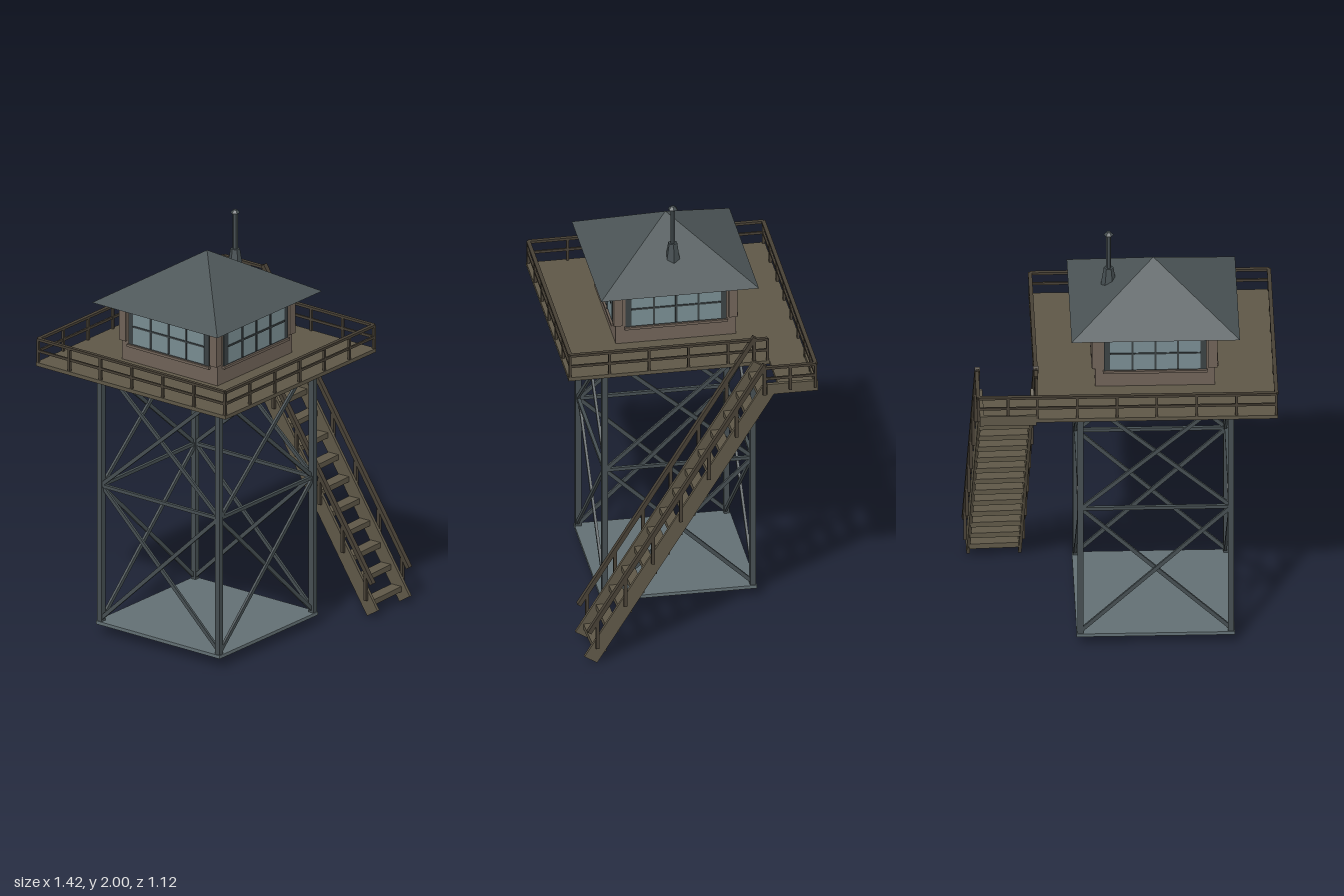
import * as THREE from 'three';

const mat = (color, extra = {}) => new THREE.MeshStandardMaterial({ color, flatShading: true, ...extra });
const wood = mat(0x5e5747), darkWood = mat(0x474035), wallPaint = mat(0x6f6257);
const steel = mat(0x454e51), slabGrey = mat(0x626f73), roofGrey = mat(0x4b5456);
const glassBlue = mat(0x788c91), frameDark = mat(0x3a4143);

// Tower axis
const CX = -0.153, CZ = 0.008;
const UP = new THREE.Vector3(0, 1, 0);

function add(parent, name, geometry, material, x = 0, y = 0, z = 0) {
  const mesh = new THREE.Mesh(geometry, material);
  mesh.name = name;
  mesh.position.set(x, y, z);
  parent.add(mesh);
  return mesh;
}

const box = (parent, name, m, w, h, d, x, y, z) =>
  add(parent, name, new THREE.BoxGeometry(w, h, d), m, x, y, z);

// Straight member between two local points; h is its depth in the vertical plane
function beam(parent, name, m, a, b, w, h = w) {
  const p = new THREE.Vector3(...a), q = new THREE.Vector3(...b);
  const mesh = add(parent, name, new THREE.BoxGeometry(w, h, p.distanceTo(q)), m);
  mesh.position.copy(p).lerp(q, 0.5);
  mesh.quaternion.setFromRotationMatrix(new THREE.Matrix4().lookAt(q, p, UP));
}

function group(parent, name, x = 0, y = 0, z = 0) {
  const g = new THREE.Group();
  g.name = name;
  g.position.set(x, y, z);
  parent.add(g);
  return g;
}

function buildTower(root) {
  const tower = group(root, 'tower', CX, 0, CZ);
  box(tower, 'baseSlab', slabGrey, 0.725, 0.016, 0.725, 0, 0.058, 0);
  const r = 0.345, low = 0.066, mid = 0.73, top = 1.332;
  for (let i = 0; i < 4; i++) {
    const side = group(tower, 'towerSide');
    side.rotation.y = i * Math.PI / 2;
    box(side, 'leg', steel, 0.027, top - low, 0.027, r, (low + top) / 2, r);
    beam(side, 'girt', steel, [-r, mid, r], [r, mid, r], 0.016);
    for (const [y0, y1] of [[low + 0.01, mid], [mid, top - 0.005]]) {
      beam(side, 'brace', steel, [-r, y0, r + 0.004], [r, y1, r + 0.004], 0.012, 0.018);
      beam(side, 'brace', steel, [-r, y1, r - 0.004], [r, y0, r - 0.004], 0.012, 0.018);
    }
  }
}

// Top rail, middle rail and evenly spaced posts along one edge
function railing(parent, a, b, bays) {
  const g = group(parent, 'railing');
  const at = (p, y) => [p[0], y, p[1]];
  beam(g, 'topRail', darkWood, at(a, 1.457), at(b, 1.457), 0.018, 0.012);
  beam(g, 'midRail', darkWood, at(a, 1.4), at(b, 1.4), 0.009, 0.012);
  for (let i = 0; i <= bays; i++) {
    const t = i / bays;
    box(g, 'railPost', darkWood, 0.012, 0.122, 0.012,
      a[0] + (b[0] - a[0]) * t, 1.395, a[1] + (b[1] - a[1]) * t);
  }
}

function buildDeck(root) {
  const deck = group(root, 'deck');
  box(deck, 'deckFloor', wood, 1.11, 0.018, 1.11, CX, 1.336, 0.002);
  const x0 = -0.7, x1 = 0.396, z0 = -0.545, z1 = 0.549;
  railing(deck, [x0, z1], [x1, z1], 6);
  railing(deck, [x0, z0], [x0, z1], 6);
  railing(deck, [x0, z0], [x1, z0], 6);
  railing(deck, [x1, z1], [x1, -0.37], 5);
  // Landing at the head of the stair
  box(deck, 'landingFloor', wood, 0.25, 0.018, 0.175, 0.525, 1.336, -0.466);
  box(deck, 'landingEdge', wood, 0.26, 0.05, 0.012, 0.53, 1.338, -0.548);
  box(deck, 'landingSide', wood, 0.018, 0.052, 0.235, 0.65, 1.338, -0.4395);
  railing(deck, [x1, z0], [0.665, z0], 2);
  railing(deck, [0.667, z0], [0.667, -0.31], 2);
}

function buildCabin(root) {
  const cabin = group(root, 'cabin', CX, 0, CZ);
  box(cabin, 'walls', wallPaint, 0.55, 0.285, 0.56, 0, 1.487, 0);
  for (let i = 0; i < 4; i++) {
    const face = group(cabin, 'cabinSide');
    face.rotation.y = i * Math.PI / 2;
    const d = i % 2 ? 0.275 : 0.28;
    box(face, 'cornerPost', wallPaint, 0.04, 0.17, 0.04, 0.265, 1.525, 0.27);
    box(face, 'windowFrame', frameDark, 0.47, 0.2, 0.012, 0, 1.522, d);
    box(face, 'glass', glassBlue, 0.415, 0.175, 0.006, 0, 1.525, d + 0.005);
    for (const x of [-0.104, 0, 0.104])
      box(face, 'mullion', frameDark, 0.009, 0.175, 0.012, x, 1.525, d + 0.006);
    box(face, 'transom', frameDark, 0.415, 0.008, 0.012, 0, 1.522, d + 0.006);
    box(face, 'sill', wallPaint, 0.48, 0.012, 0.024, 0, 1.425, d + 0.004);
  }
  // Four-sided hipped roof
  const roof = new THREE.ConeGeometry(Math.SQRT2, 0.23, 4, 1);
  roof.rotateY(Math.PI / 4);
  roof.scale(0.386, 1, 0.367);
  add(cabin, 'roof', roof, roofGrey, 0, 1.748, 0);

  // Stove pipe
  const pipe = group(cabin, 'chimney', 0.205, 0, 0.002);
  const hex = (r0, r1, h) => new THREE.CylinderGeometry(r0, r1, h, 6, 1, false, Math.PI / 2);
  add(pipe, 'chimneyBase', hex(0.022, 0.036, 0.09), steel, 0, 1.765, 0);
  add(pipe, 'chimneyPipe', hex(0.012, 0.012, 0.2), steel, 0, 1.89, 0);
  add(pipe, 'chimneyCap', hex(0.01, 0.023, 0.014), steel, 0, 1.993, 0);
}

function buildStair(root) {
  const stair = group(root, 'stair');
  // The flight drifts slightly sideways as it descends
  const drift = z => 0.041 * (z + 0.35);
  const foot = [0.505, 0.02], head = [-0.33, 1.338];
  const slope = (head[1] - foot[1]) / (head[0] - foot[0]);
  const lineY = z => foot[1] + slope * (z - foot[0]);

  for (const [sx, rx] of [[0.411, 0.394], [0.648, 0.662]]) {
    beam(stair, 'stringer', wood, [sx + drift(foot[0]), foot[1], foot[0]],
      [sx + drift(head[0]), head[1], head[0]], 0.015, 0.07);
    // Handrail with posts fixed to the outside of the stringer
    const railY = z => lineY(z) + 0.165;
    beam(stair, 'handrail', darkWood, [rx + drift(0.515), railY(0.515), 0.515],
      [rx + drift(-0.31), railY(-0.31), -0.31], 0.024, 0.02);
    for (let i = 0; i < 7; i++) {
      const z = 0.475 - i * 0.1305;
      box(stair, 'handrailPost', darkWood, 0.014, 0.155, 0.016,
        rx + drift(z), railY(z) - 0.075, z);
    }
  }
  for (let i = 0; i < 14; i++) {
    const z = 0.464 - i * 0.0596, y = 0.065 + i * 0.0943;
    const tread = box(stair, 'tread', wood, 0.235, 0.026, 0.057, 0.53 + drift(z), y, z);
    tread.rotation.y = 0.041;
  }
}

export function createModel() {
  const root = new THREE.Group();
  root.name = 'lookoutTower';
  buildTower(root);
  buildDeck(root);
  buildCabin(root);
  buildStair(root);
  return root;
}
